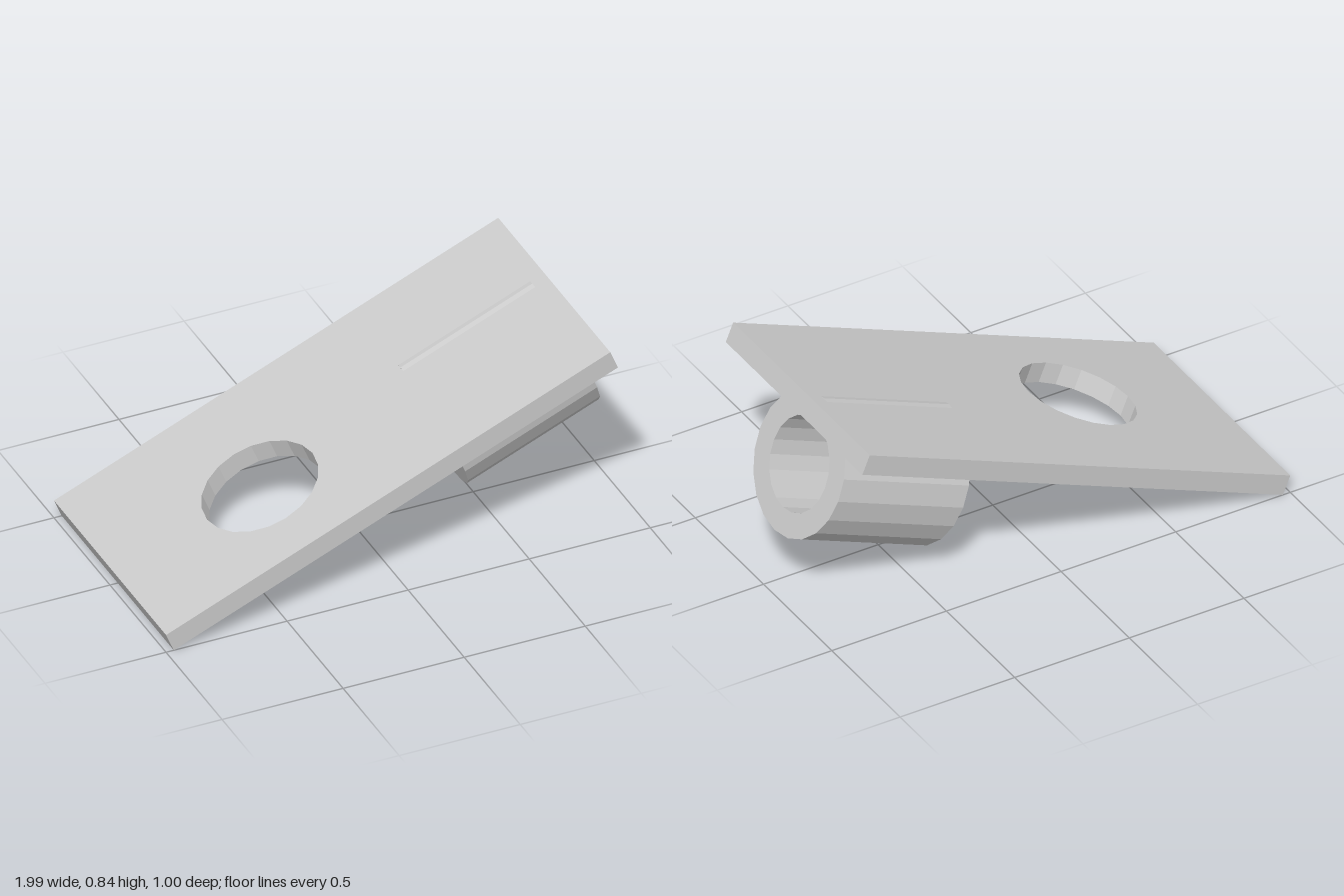
import * as THREE from 'three';

const SIDES = 20;

// Points of a regular polygon with a corner on each axis
function ring(cx, cy, radius) {
  return Array.from({ length: SIDES }, (_, i) => {
    const a = (i / SIDES) * Math.PI * 2;
    return new THREE.Vector2(cx + radius * Math.cos(a), cy + radius * Math.sin(a));
  });
}

function extrude(outline, hole, depth) {
  const shape = new THREE.Shape(outline);
  shape.holes.push(new THREE.Path(hole));
  return new THREE.ExtrudeGeometry(shape, { depth, bevelEnabled: false });
}

export function createModel() {
  const material = new THREE.MeshStandardMaterial({ color: 0xcccccc, flatShading: true });
  const model = new THREE.Group();
  model.name = 'angledBracket';

  // Local frame: x runs up the slope, y = 0 is the top face of the plate
  const slope = new THREE.Group();
  slope.name = 'slopedBracket';
  slope.position.set(-1, 0.078, 0);
  slope.rotation.z = Math.PI / 8;
  model.add(slope);

  const add = (name, geometry) => {
    const mesh = new THREE.Mesh(geometry, material);
    mesh.name = name;
    slope.add(mesh);
  };

  // Flat plate with a round hole near its low end
  const length = 1.986, halfWidth = 0.5, thickness = 0.084;
  const outline = [[0, -halfWidth], [length, -halfWidth], [length, halfWidth], [0, halfWidth]]
    .map(([x, y]) => new THREE.Vector2(x, y));
  add('plate', extrude(outline, ring(0.636, -0.067, 0.235), thickness)
    .rotateX(-Math.PI / 2).translate(0, -thickness, 0));

  // Open tube under the high end; its top ridge just breaks the plate surface
  add('tube', extrude(ring(0, 0, 0.2845), ring(0, 0, 0.186), 0.59)
    .rotateY(Math.PI / 2).translate(1.335, -0.281, -0.071));

  return model;
}
